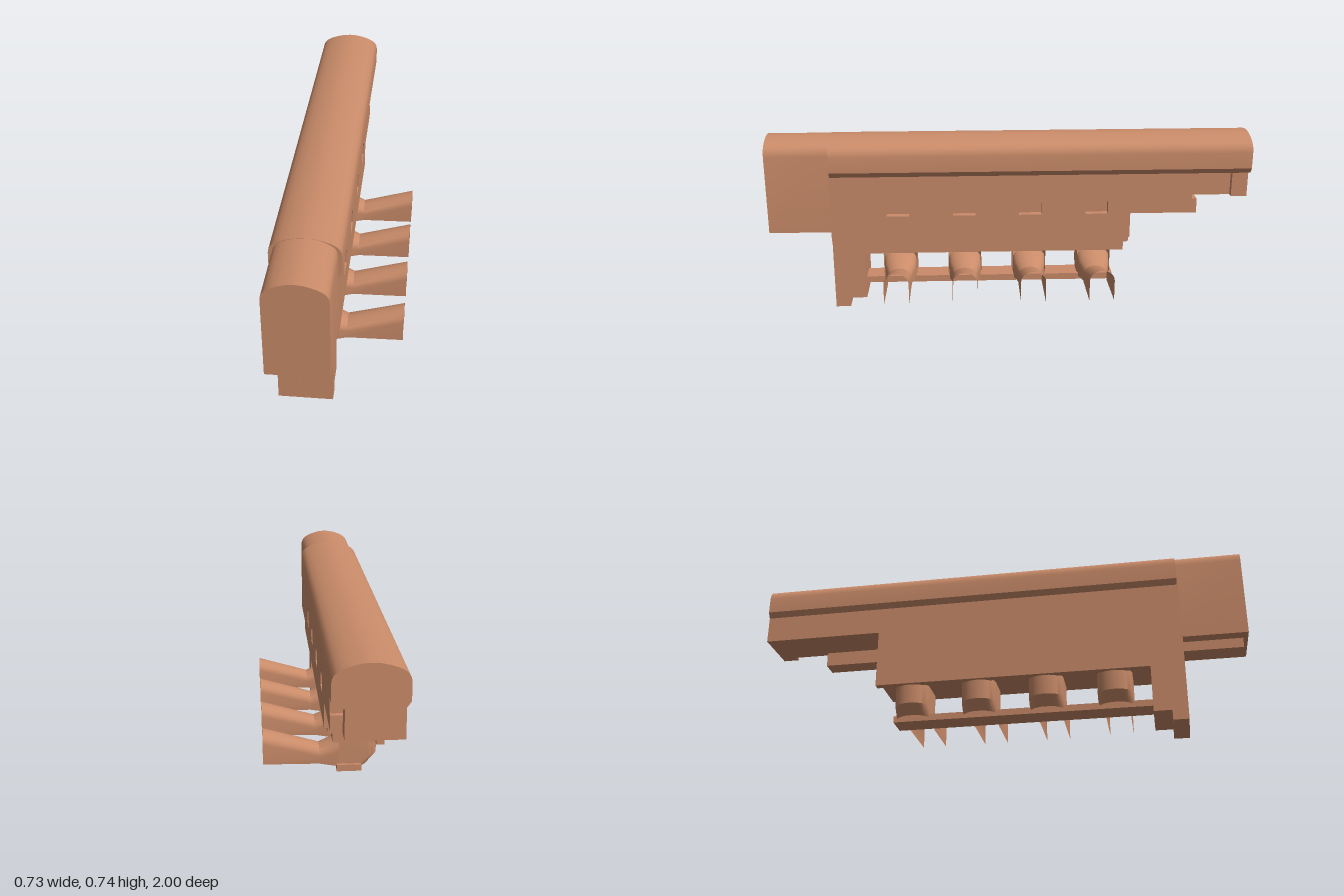
import * as THREE from 'three';
import { toCreasedNormals } from 'three/addons/utils/BufferGeometryUtils.js';

const material = new THREE.MeshStandardMaterial({ color: 0xc98b69, side: THREE.DoubleSide });

function mesh(name, geometry) {
  const m = new THREE.Mesh(geometry, material);
  m.name = name;
  return m;
}

// Box given by its limits on each axis
function box(name, x0, x1, y0, y1, z0, z1) {
  const g = new THREE.BoxGeometry(x1 - x0, y1 - y0, z1 - z0);
  g.translate((x0 + x1) / 2, (y0 + y1) / 2, (z0 + z1) / 2);
  return mesh(name, g);
}

// Surface through rows of points
function loft(name, rows) {
  const n = rows[0].length, index = [];
  for (let r = 0; r < rows.length - 1; r++) {
    for (let i = 0; i < n - 1; i++) {
      const a = r * n + i, b = a + n;
      index.push(a, b, a + 1, b, b + 1, a + 1);
    }
  }
  const g = new THREE.BufferGeometry().setFromPoints(rows.flat());
  g.setIndex(index);
  return mesh(name, toCreasedNormals(g, 0.6));
}

// Symmetric arched section, swept along z
function archedBeam(name, half, base, foot, z0, z1) {
  const top = [[1, 0.668], [0.98, 0.682], [0.93, 0.695], [0.84, 0.706], [0.68, 0.717], [0.47, 0.726], [0.23, 0.733], [0, 0.735]];
  const right = [...base, ...top.map(([f, y]) => [f * half, y])];
  const left = right.slice(0, -1).reverse().map(([x, y]) => [-x, y]);
  const shape = new THREE.Shape([[foot, base[0][1]], ...right, ...left].slice(1).map(p => new THREE.Vector2(...p)));
  const g = new THREE.ExtrudeGeometry(shape, { depth: z1 - z0, bevelEnabled: false });
  g.translate(0, 0, z0);
  return mesh(name, toCreasedNormals(g, 0.5));
}

const centres = [0.45, 0.176, -0.098, -0.374];

// Side wall with arched windows
function windowWall() {
  const s = new THREE.Shape();
  s.moveTo(-0.515, 0.305).lineTo(0.725, 0.305).lineTo(0.725, 0.62).lineTo(-0.515, 0.62);
  for (const c of centres) {
    const h = new THREE.Path();
    h.moveTo(c - 0.047, 0.41).lineTo(c - 0.047, 0.45);
    h.absellipse(c, 0.45, 0.047, 0.036, Math.PI, 0, true);
    h.lineTo(c + 0.047, 0.41);
    s.holes.push(h);
  }
  const g = new THREE.ExtrudeGeometry(s, { depth: 0.03, bevelEnabled: false, curveSegments: 10 });
  g.rotateY(-Math.PI / 2).translate(0.114, 0, 0);
  return mesh('windowWall', toCreasedNormals(g, 0.6));
}

// Open-bottomed arched chute, narrowing then rising outward
function chute(c) {
  const stations = [[0.03, 0.068, 0.11, 0.232], [0.07, 0.064, 0.112, 0.205], [0.125, 0.05, 0.116, 0.182], [0.343, 0.05, 0.12, 0.248]];
  return loft('chute', stations.map(([x, h, y0, y1]) => {
    const rise = Math.min(0.042, (y1 - y0) * 0.55);
    const row = [new THREE.Vector3(x, y0, c - h)];
    for (let i = 0; i <= 12; i++) {
      const a = Math.PI * i / 12;
      row.push(new THREE.Vector3(x, y1 - rise + rise * Math.sin(a), c - h * Math.cos(a)));
    }
    row.push(new THREE.Vector3(x, y0, c + h));
    return row;
  }));
}

// Round-backed hopper with a sloping foot, open toward the chute
function hopper(c) {
  const h = 0.07;
  return loft('hopper', [[0.11, -0.065], [0.15, -0.1], [0.24, -0.1]].map(([y, x]) => {
    const row = [new THREE.Vector3(0.05, y, c - h)];
    for (let i = 0; i <= 12; i++) {
      const a = Math.PI * i / 12;
      row.push(new THREE.Vector3(x + 0.05 - 0.05 * Math.sin(a), y, c - h * Math.cos(a)));
    }
    row.push(new THREE.Vector3(0.05, y, c + h));
    return row;
  }));
}

export function createModel() {
  const model = new THREE.Group();
  model.name = 'longHousing';
  const body = new THREE.Group();
  body.name = 'body';
  body.rotation.y = Math.PI / 18;
  body.position.set(-0.0625, 0, 0.011);
  model.add(body);

  body.add(
    // Roof cover and front head
    archedBeam('frontHead', 0.114, [[0.114, 0.345]], 0, 0.72, 0.979),
    archedBeam('roofCover', 0.129, [[0.114, 0.58], [0.129, 0.602]], 0, -1.006, 0.72),
    box('headTab', -0.065, 0.003, 0.305, 0.345, 0.72, 0.96),
    // Hollow middle section
    box('plainWall', -0.114, -0.084, 0.23, 0.62, -0.515, 0.725),
    windowWall(),
    box('rearBulkhead', -0.084, 0.084, 0.28, 0.6, -0.515, -0.485),
    box('floor', -0.084, 0.1, 0.28, 0.308, -0.51, 0.72),
    box('lowerFloor', -0.084, 0.08, 0.235, 0.28, -0.495, 0.6),
    // Front leg with stepped foot
    box('frontLeg', -0.115, 0.093, 0.04, 0.35, 0.594, 0.726),
    box('foot', -0.115, 0.093, 0, 0.04, 0.665, 0.726),
    // Overhanging tail with a side recess
    box('tail', -0.114, 0.114, 0.47, 0.6, -0.77, -0.515),
    box('tailRecess', -0.114, 0.06, 0.47, 0.6, -0.94, -0.77),
    box('tailEnd', -0.114, 0.085, 0.47, 0.6, -1.006, -0.94),
    box('tailRail', 0.04, 0.114, 0.41, 0.47, -0.79, -0.515),
    // Bar tying the hoppers together
    box('bottomBar', -0.035, 0.06, 0.095, 0.122, -0.455, 0.6)
  );
  for (const c of centres) body.add(hopper(c), chute(c));
  return model;
}
